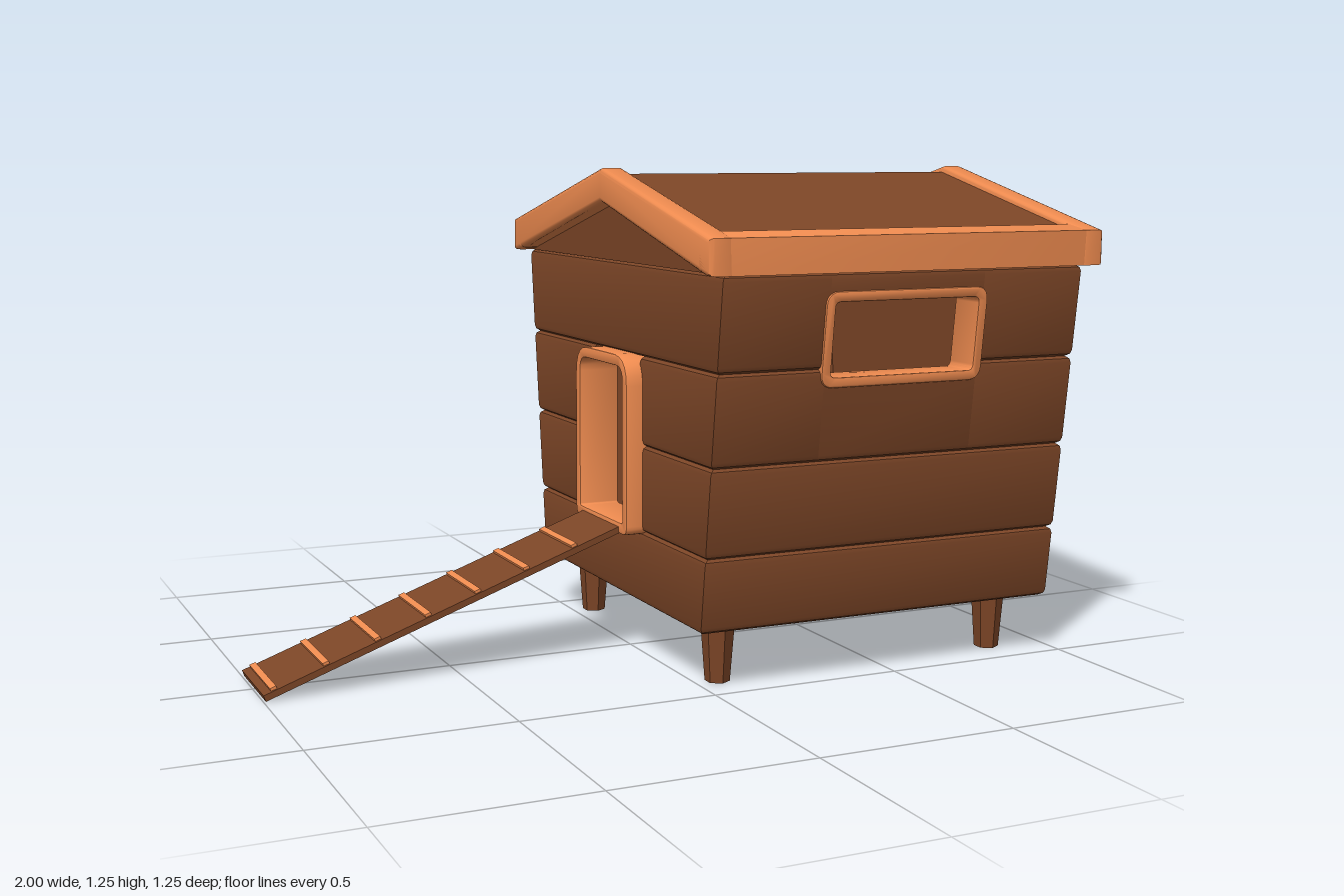
import * as THREE from 'three';
import { toCreasedNormals } from 'three/addons/utils/BufferGeometryUtils.js';

const BROWN = 0x7d4627, ORANGE = 0xf08c50;
const CX = 0.455;          // middle of the house along x
const HALF_X = 0.495;      // half length of the house
const WALL = 0.05;
const halfZ = (y) => 0.5 + (y - 0.15) * 0.123;   // walls lean outward
const ROWS = [0.15, 0.335, 0.555, 0.78, 1.01];

export function createModel() {
  const root = new THREE.Group();
  root.name = 'coop';
  const brown = new THREE.MeshStandardMaterial({ color: BROWN });
  const orange = new THREE.MeshStandardMaterial({ color: ORANGE });

  const add = (parent, name, geo, mat, x = 0, y = 0, z = 0) => {
    const m = new THREE.Mesh(geo, mat);
    m.name = name;
    m.position.set(x, y, z);
    parent.add(m);
    return m;
  };
  const polygon = (pts) => new THREE.Shape(pts.map((p) => new THREE.Vector2(...p)));

  // Moves every vertex of a geometry by a rule
  const warp = (geo, rule) => {
    const p = geo.attributes.position, v = new THREE.Vector3();
    for (let i = 0; i < p.count; i++) {
      rule(v.fromBufferAttribute(p, i));
      p.setXYZ(i, v.x, v.y, v.z);
    }
    geo.computeVertexNormals();
    return geo;
  };

  // One plank: chamfered profile swept along the wall; null ends are mitred corners
  const plank = (y0, y1, u0, u1, len, off, softBottom = true, softTop = true) => {
    const c = 0.012;
    const pts = [[WALL, y0]];
    if (softBottom) pts.push([c, y0], [0.003, y0 + 0.006], [0, y0 + 0.016]);
    else pts.push([0, y0]);
    if (softTop) pts.push([0, y1 - 0.016], [0.003, y1 - 0.006], [c, y1]);
    else pts.push([0, y1]);
    pts.push([WALL, y1]);
    const geo = new THREE.ExtrudeGeometry(polygon(pts), { depth: 1, bevelEnabled: false });
    warp(geo, (v) => {
      const d = v.x, end = len(v.y) - d;
      const a = u0 === null ? -end : u0, b = u1 === null ? end : u1;
      v.set(v.z < 0.5 ? a : b, v.y, off(v.y) - d);
    });
    return toCreasedNormals(geo, 0.6);
  };

  // A wall of four plank rows, with an optional opening [half width, bottom, top]
  const wall = (name, len, off, angle, hole) => {
    const g = new THREE.Group();
    g.name = name;
    g.position.x = CX;
    g.rotation.y = angle;
    for (let i = 0; i < 4; i++) {
      const y0 = ROWS[i], y1 = ROWS[i + 1];
      const put = (...a) => add(g, 'plank', plank(...a), brown);
      if (!hole || hole[1] >= y1 || hole[2] <= y0) {
        put(y0, y1, null, null, len, off);
        continue;
      }
      const [w, lo, hi] = hole;
      put(y0, y1, null, -w, len, off);
      put(y0, y1, w, null, len, off);
      if (lo > y0 + 0.02) put(y0, lo, -w, w, len, off, true, false);
      if (hi < y1 - 0.02) put(hi, y1, -w, w, len, off, false, true);
    }
    root.add(g);
    return g;
  };

  // Rounded rectangle with its own radius for the lower corners
  const rounded = (path, w, lo, hi, r, rb = r) => {
    path.moveTo(-w + rb, lo);
    path.lineTo(w - rb, lo);
    path.quadraticCurveTo(w, lo, w, lo + rb);
    path.lineTo(w, hi - r);
    path.quadraticCurveTo(w, hi, w - r, hi);
    path.lineTo(-w + r, hi);
    path.quadraticCurveTo(-w, hi, -w, hi - r);
    path.lineTo(-w, lo + rb);
    path.quadraticCurveTo(-w, lo, -w + rb, lo);
    return path;
  };

  // Lining of an opening, following the lean of its wall
  const lining = (w, lo, hi, t, r, rb, out, depth, off) => {
    const s = rounded(new THREE.Shape(), w - 0.004, lo + 0.004, hi - 0.004, r, rb);
    s.holes.push(rounded(new THREE.Path(), w - t, lo + t, hi - t, r * 0.6, rb * 0.6));
    const geo = new THREE.ExtrudeGeometry(s, {
      depth: depth - 0.008, bevelThickness: 0.004, bevelSize: 0.004, bevelSegments: 2, curveSegments: 5,
    });
    warp(geo, (v) => { v.z += off(v.y) + out - depth + 0.004; });
    return toCreasedNormals(geo, 0.7);
  };

  // Long walls with windows, end walls with a door on one side
  const constX = () => HALF_X;
  for (const [name, angle] of [['frontWall', 0], ['backWall', Math.PI]]) {
    const g = wall(name, constX, halfZ, angle, [0.212, 0.746, 0.954]);
    add(g, 'windowFrame', lining(0.223, 0.735, 0.965, 0.021, 0.03, 0.03, 0.006, 0.1, halfZ), orange);
  }
  wall('leftWall', halfZ, constX, Math.PI / 2, null);
  const doorWall = wall('doorWall', halfZ, constX, -Math.PI / 2, [0.15, 0.335, 0.775]);
  add(doorWall, 'doorFrame', lining(0.165, 0.328, 0.782, 0.024, 0.07, 0.02, 0.045, 0.11, constX), orange);

  // Gable triangles above the end walls
  for (const s of [-1, 1]) {
    const geo = new THREE.ExtrudeGeometry(polygon([[-0.597, 1.01], [0.597, 1.01], [0, 1.175]]),
      { depth: WALL, bevelEnabled: false });
    const m = add(root, 'gable', geo, brown, CX + s * (HALF_X - 0.003) - (s > 0 ? WALL : 0));
    m.rotation.y = Math.PI / 2;
  }

  // Floor, set a little above the lower edge
  add(root, 'floor', new THREE.BoxGeometry(2 * HALF_X - 0.06, 0.03, 0.96), brown, CX, 0.18, 0);

  // Roof panel
  const panel = new THREE.ExtrudeGeometry(
    polygon([[-0.6, 1.02], [0, 1.165], [0.6, 1.02], [0.6, 1.088], [0, 1.23], [-0.6, 1.088]]),
    { depth: 1.0, bevelEnabled: false });
  add(root, 'roofPanel', panel, brown, CX - 0.5).rotation.y = Math.PI / 2;

  // Roof trim: bent bars over the gables and straight bars along the eaves
  const b = 0.012;
  const bevel = { bevelThickness: b, bevelSize: b, bevelSegments: 3 };
  const gableBar = polygon([
    [-0.613, 1.022], [-0.6, 1.022], [0, 1.172], [0.6, 1.022], [0.613, 1.022],
    [0.613, 1.086], [0, 1.233], [-0.613, 1.086],
  ]);
  for (const x of [-0.085, 0.935]) {
    const geo = toCreasedNormals(
      new THREE.ExtrudeGeometry(gableBar, { depth: 0.065 - 2 * b, ...bevel }), 0.7);
    add(root, 'gableTrim', geo, orange, x + b).rotation.y = Math.PI / 2;
  }
  for (const s of [-1, 1]) {
    const bar = polygon([[0.574, 1.028], [0.613, 1.022], [0.613, 1.086], [0.574, 1.095]]
      .map(([z, y]) => [z * s, y]));
    const geo = toCreasedNormals(
      new THREE.ExtrudeGeometry(bar, { depth: 1.085 - 2 * b, ...bevel }), 0.7);
    add(root, 'eaveTrim', geo, orange, -0.085 + b).rotation.y = Math.PI / 2;
  }

  // Tapered legs
  const legMat = new THREE.MeshStandardMaterial({ color: BROWN, flatShading: true });
  for (const x of [0.06, 0.85]) {
    for (const z of [-0.39, 0.39]) {
      add(root, 'leg', new THREE.CylinderGeometry(0.044, 0.031, 0.17, 6), legMat, x, 0.085, z);
    }
  }

  // Ramp with cross slats
  const ramp = new THREE.Group();
  ramp.name = 'ramp';
  const rise = 0.335, run = 0.93, slope = Math.atan2(rise, run), length = Math.hypot(rise, run);
  ramp.position.set(-0.997 + run / 2, 0.008 + rise / 2, 0);
  ramp.rotation.z = slope;
  add(ramp, 'rampBoard', new THREE.BoxGeometry(length, 0.016, 0.236), brown);
  for (let i = 0; i < 7; i++) {
    const x = (-0.97 + i * 0.1283 - ramp.position.x) / Math.cos(slope);
    add(ramp, 'slat', new THREE.BoxGeometry(0.016, 0.01, 0.222), orange, x, 0.01, 0);
  }
  root.add(ramp);

  return root;
}
